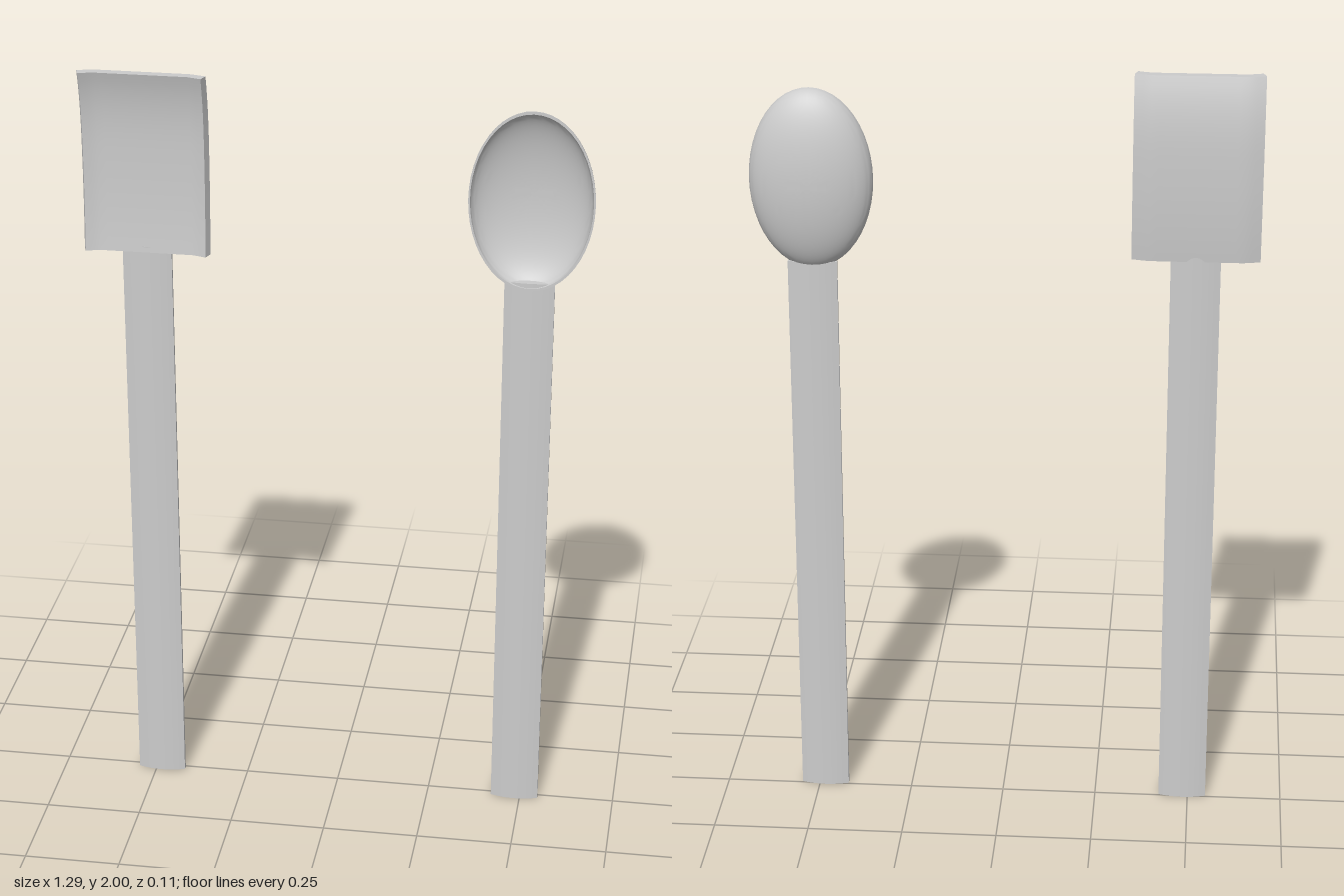
import * as THREE from 'three';
import { toCreasedNormals } from 'three/addons/utils/BufferGeometryUtils.js';

const material = new THREE.MeshStandardMaterial({ color: 0xcccccc, side: THREE.DoubleSide });

function addPart(parent, name, geometry, crease = 0.6) {
  const mesh = new THREE.Mesh(toCreasedNormals(geometry, crease), material);
  mesh.name = name;
  parent.add(mesh);
  return mesh;
}

// Moves every vertex of a geometry by a rule
function reshape(geometry, rule) {
  const p = geometry.attributes.position;
  const v = new THREE.Vector3();
  for (let i = 0; i < p.count; i++) {
    rule(v.fromBufferAttribute(p, i));
    p.setXYZ(i, v.x, v.y, v.z);
  }
  return geometry;
}

// Flat handle with a softly bulged front and back, slimmer at the top
function handleGeometry(height) {
  const halfWidth = 0.063, points = [], n = 12;
  const bulge = u => 0.35 + 0.65 * (1 - u * u);
  for (const side of [-1, 1]) {
    for (let i = 0; i <= n; i++) {
      const u = -side * (-1 + 2 * i / n);
      points.push(new THREE.Vector2(u * halfWidth, side * bulge(u)));
    }
  }
  const g = new THREE.ExtrudeGeometry(new THREE.Shape(points), { depth: height, bevelEnabled: false });
  g.rotateX(-Math.PI / 2);
  return reshape(g, v => { v.z = 0.01 + v.z * (0.017 - 0.005 * v.y / height); });
}

// Blade with side edges bent forward and a curled tip
function bladeGeometry() {
  const y0 = 1.525, y1 = 2, thickness = 0.024;
  const g = new THREE.BoxGeometry(0.316, y1 - y0, thickness, 16, 20, 1);
  g.translate(0, (y0 + y1) / 2, -thickness / 2);
  return reshape(g, v => {
    const bend = Math.max(0, (Math.abs(v.x) - 0.122) / 0.036);
    const low = Math.max(0, (1.75 - v.y) / 0.225);
    const high = Math.max(0, (v.y - 1.75) / 0.25);
    const back = -v.z / thickness;
    v.x += Math.sign(v.x) * bend * (back - 0.5) * 0.008;
    v.z += 0.013 + 0.011 * bend + 0.01 * low * low + 0.028 * high ** 3;
  });
}

// Hollow half-ellipsoid bowl, open to the front
function bowlGeometry() {
  const profile = [], n = 20;
  for (let i = 0; i <= n; i++) {
    const a = Math.PI / 2 * i / n;
    profile.push(new THREE.Vector2(Math.sin(a), -Math.cos(a)));
  }
  for (let i = n; i >= 0; i--) {
    const a = Math.PI / 2 * i / n;
    profile.push(new THREE.Vector2(0.97 * Math.sin(a), -0.9 * Math.cos(a)));
  }
  const g = new THREE.LatheGeometry(profile, 48);
  g.rotateX(Math.PI / 2);
  g.scale(0.157, 0.235, 0.078);
  return g;
}

export function createModel() {
  const model = new THREE.Group();
  model.name = 'utensils';

  const spatula = new THREE.Group();
  spatula.name = 'spatula';
  spatula.position.x = -0.485;
  addPart(spatula, 'spatulaHandle', handleGeometry(1.54));
  addPart(spatula, 'spatulaBlade', bladeGeometry());

  const spoon = new THREE.Group();
  spoon.name = 'spoon';
  spoon.position.x = 0.485;
  addPart(spoon, 'spoonHandle', handleGeometry(1.5));
  addPart(spoon, 'spoonBowl', bowlGeometry()).position.set(0, 1.715, 0.024);

  model.add(spatula, spoon);
  return model;
}
